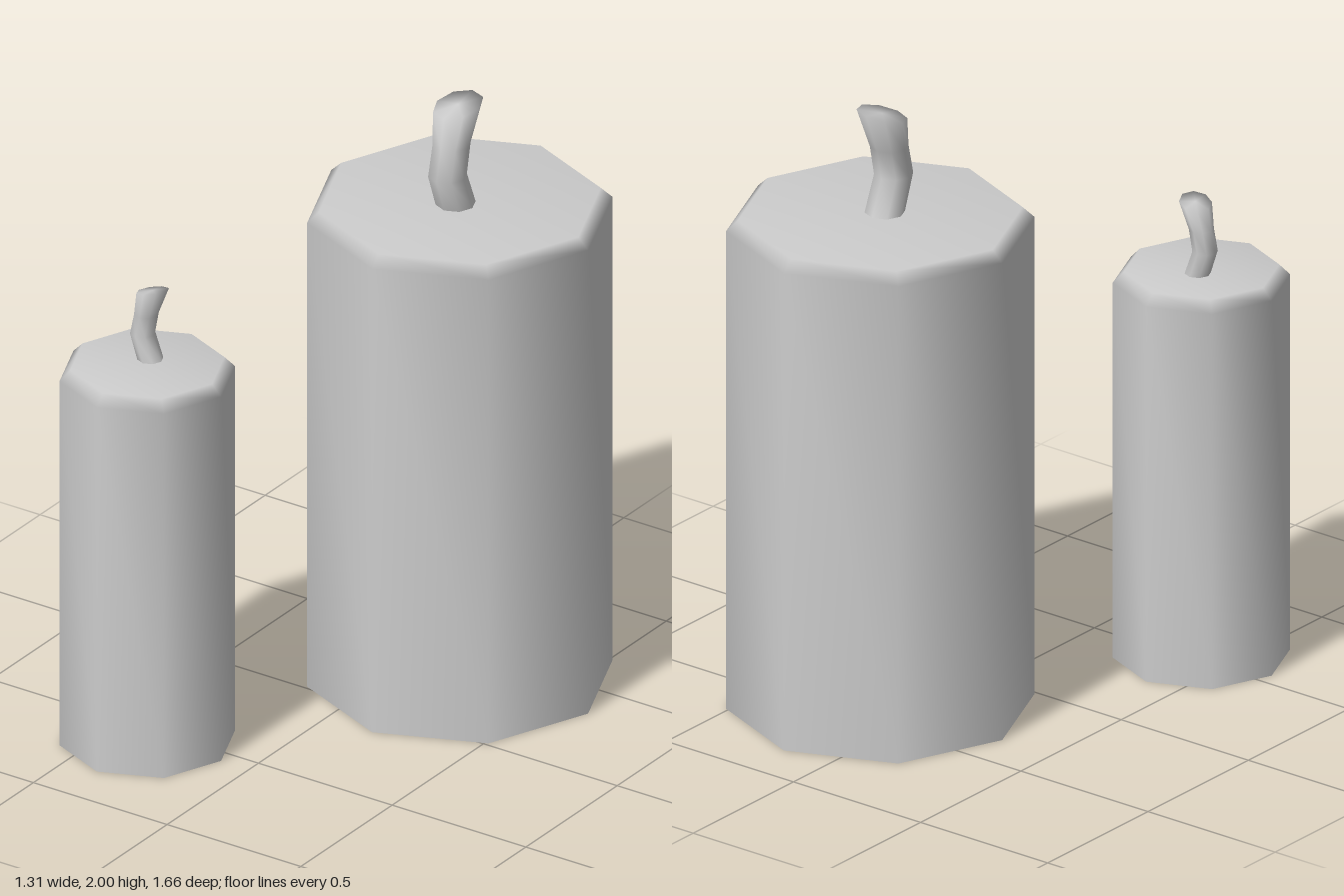
import * as THREE from 'three';
import { mergeVertices } from 'three/addons/utils/BufferGeometryUtils.js';

const SIDES = 8;
const material = new THREE.MeshStandardMaterial({ color: 0xcccccc });

// Eight-sided lathe; "move" may shift each vertex by its profile row
function turned(profile, move) {
  const geo = new THREE.LatheGeometry(profile.map(([r, y]) => new THREE.Vector2(r, y)), SIDES);
  if (move) {
    const p = geo.attributes.position;
    const v = new THREE.Vector3();
    for (let i = 0; i < p.count; i++) {
      v.fromBufferAttribute(p, i);
      move(v, i % profile.length);
      p.setXYZ(i, v.x, v.y, v.z);
    }
  }
  // weld the seam so the shading runs smoothly all round
  geo.deleteAttribute('uv');
  geo.deleteAttribute('normal');
  const welded = mergeVertices(geo, 1e-4);
  welded.computeVertexNormals();
  return welded;
}

function addMesh(parent, name, geometry) {
  const mesh = new THREE.Mesh(geometry, material);
  mesh.name = name;
  parent.add(mesh);
  return mesh;
}

// Bent wick that flares to a slanted tip: rows of [radius, height, z offset]
function wickGeometry() {
  const rows = [
    [0.063, -0.02, -0.008],
    [0.063, 0, 0],
    [0.061, 0.115, 0.044],
    [0.06, 0.215, 0.022],
    [0.079, 0.335, -0.014],
    [0, 0.337, -0.014],
  ];
  return turned(rows, (v, row) => {
    if (row >= 4) v.y += 0.12 * v.x - 0.22 * v.z;
    v.z += rows[row][2];
  });
}

function candle(name, { radius, height, bevel, wickAt, wickScale, wickTurn }) {
  const group = new THREE.Group();
  group.name = name;

  // wax body with a bevelled upper rim
  addMesh(group, 'wax', turned([
    [radius, 0],
    [radius, height - 0.035],
    [radius - bevel, height],
    [0, height],
  ]));

  // flat underside
  addMesh(group, 'base', new THREE.CircleGeometry(radius, SIDES).rotateX(Math.PI / 2));

  const wick = addMesh(group, 'wick', wickGeometry());
  wick.position.set(wickAt[0], height, wickAt[1]);
  wick.scale.set(wickScale[0], wickScale[1], wickScale[0]);
  wick.rotation.y = wickTurn;
  return group;
}

export function createModel() {
  const model = new THREE.Group();
  model.name = 'candles';

  const large = candle('largeCandle', {
    radius: 0.48, height: 1.645, bevel: 0.037,
    wickAt: [0, 0.023], wickScale: [1, 1], wickTurn: 0,
  });
  large.position.set(0.172, 0, -0.35);

  const small = candle('smallCandle', {
    radius: 0.276, height: 1.3, bevel: 0.034,
    wickAt: [-0.013, -0.035], wickScale: [0.65, 0.71], wickTurn: -Math.PI / 2,
  });
  small.position.set(-0.38, 0, 0.552);

  model.add(large, small);
  return model;
}
